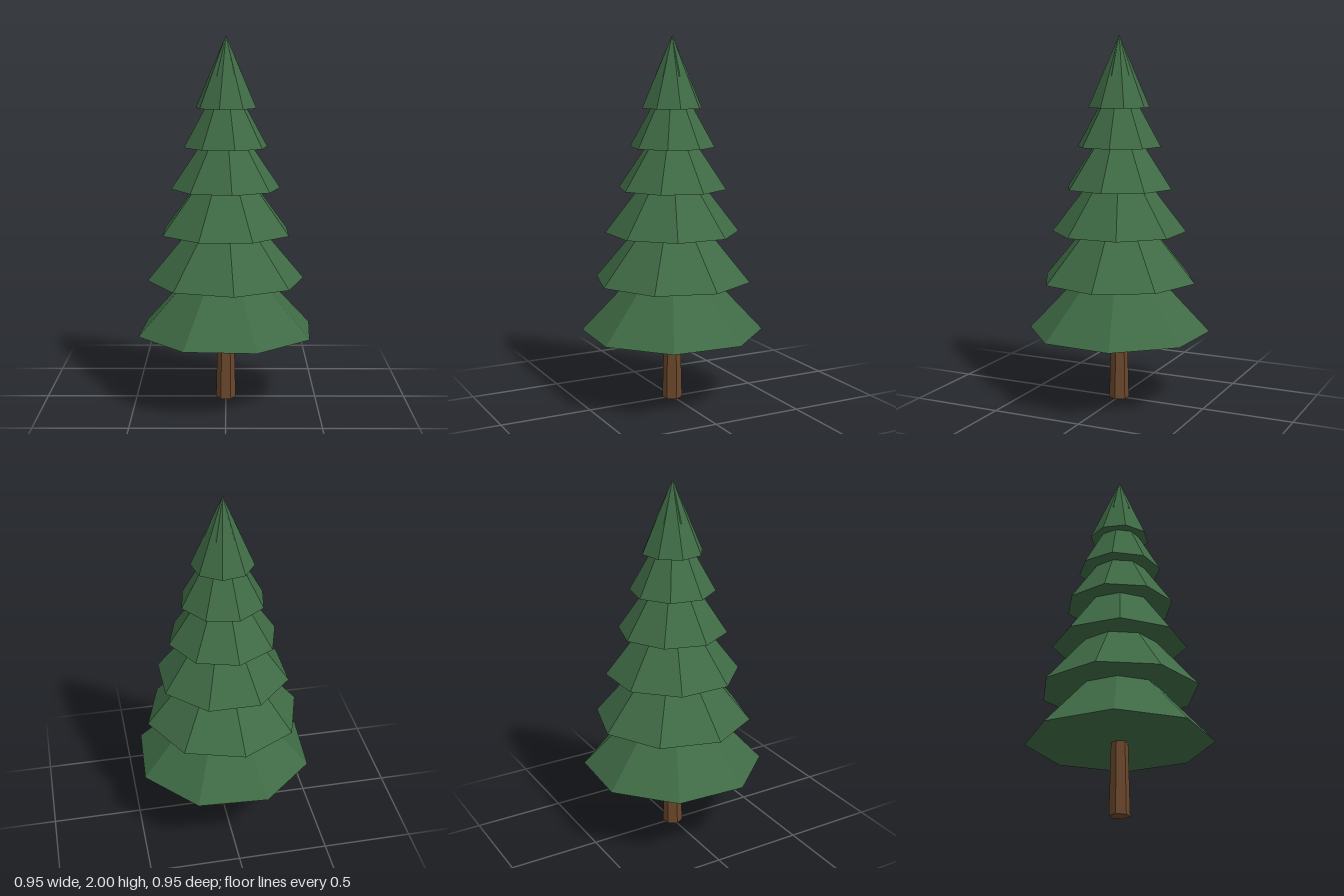
import * as THREE from 'three';

export function createModel() {
  const tree = new THREE.Group();
  tree.name = 'pineTree';

  const needles = new THREE.MeshStandardMaterial({ color: 0x3f6b45 });
  needles.name = 'needle green';
  const bark = new THREE.MeshStandardMaterial({ color: 0x6b472c });
  bark.name = 'bark brown';
  needles.flatShading = bark.flatShading = true;

  // Faceted frustum standing on y, turned about the vertical axis
  function addTaper(name, material, sides, rTop, rBottom, y, top, turn) {
    const geometry = new THREE.CylinderGeometry(rTop, rBottom, top - y, sides);
    const mesh = new THREE.Mesh(geometry, material);
    mesh.name = name;
    mesh.position.y = (y + top) / 2;
    mesh.rotation.y = turn;
    tree.add(mesh);
  }

  // Hexagonal trunk
  addTaper('trunk', bark, 6, 0.044, 0.055, 0, 0.45, Math.PI / 6);

  // Branch tiers: radius, base height, apex height, turn
  const tiers = [
    [0.5, 0.39, 0.92, 0.33],
    [0.432, 0.675, 1.19, 0.1],
    [0.367, 0.94, 1.42, 0.393],
    [0.298, 1.18, 1.62, 0.11],
    [0.231, 1.405, 1.82, 0.21],
    [0.167, 1.615, 2.0, -0.2],
  ];
  tiers.forEach(([r, y, top, turn], i) =>
    addTaper(`branchTier${i + 1}`, needles, 8, 0, r, y, top, turn));

  // Small six-sided tip whose corners break through the top tier
  addTaper('treeTip', needles, 6, 0, 0.092, 1.785, 2.0, Math.PI / 6);

  return tree;
}
